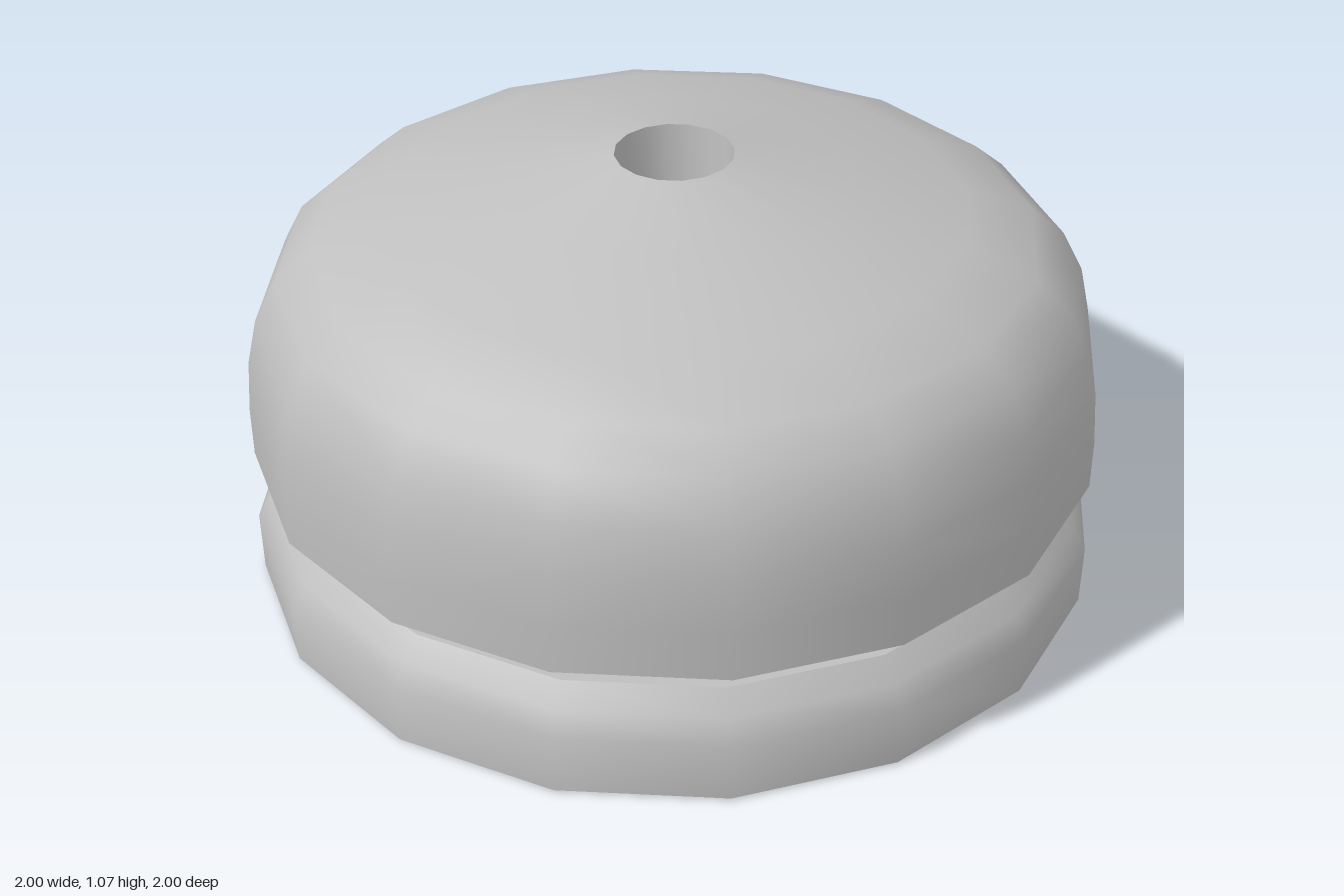
import * as THREE from 'three';
import { toCreasedNormals } from 'three/addons/utils/BufferGeometryUtils.js';

export function createModel() {
  const model = new THREE.Group();
  const grey = new THREE.MeshStandardMaterial({ color: 0xbfbfbf });
  grey.name = 'grey';

  // Turned part: profile of [radius, y] from the bottom centre outwards and up
  function turned(name, profile, sides = 16) {
    const points = profile.map(([r, y]) => new THREE.Vector2(r, y));
    const geometry = toCreasedNormals(new THREE.LatheGeometry(points, sides), 0.75);
    const mesh = new THREE.Mesh(geometry, grey);
    mesh.name = name;
    model.add(mesh);
  }

  // Low disc with a rounded upper rim
  turned('base', [
    [0, 0], [0.995, 0.005], [1, 0.15], [0.97, 0.205], [0.925, 0.255], [0, 0.255],
  ]);

  // Short neck in the gap between base and cap
  turned('neck', [[0, 0.25], [0.187, 0.25], [0.187, 0.33], [0, 0.33]]);

  // Domed cap with a blind, tapering hole in its top
  turned('cap', [
    [0, 0.318], [0.96, 0.318], [0.997, 0.33], [1, 0.45], [0.993, 0.58], [0.97, 0.69],
    [0.92, 0.79], [0.84, 0.86], [0.68, 0.925], [0.4, 1.0], [0.138, 1.065],
    [0.13, 0.9], [0.12, 0.6], [0, 0.6],
  ]);

  // Square-section pin end at the bottom of the hole
  turned('pin', [[0, 0.58], [0.1, 0.58], [0.1, 0.62], [0.07, 0.64], [0, 0.645]], 4);

  return model;
}
